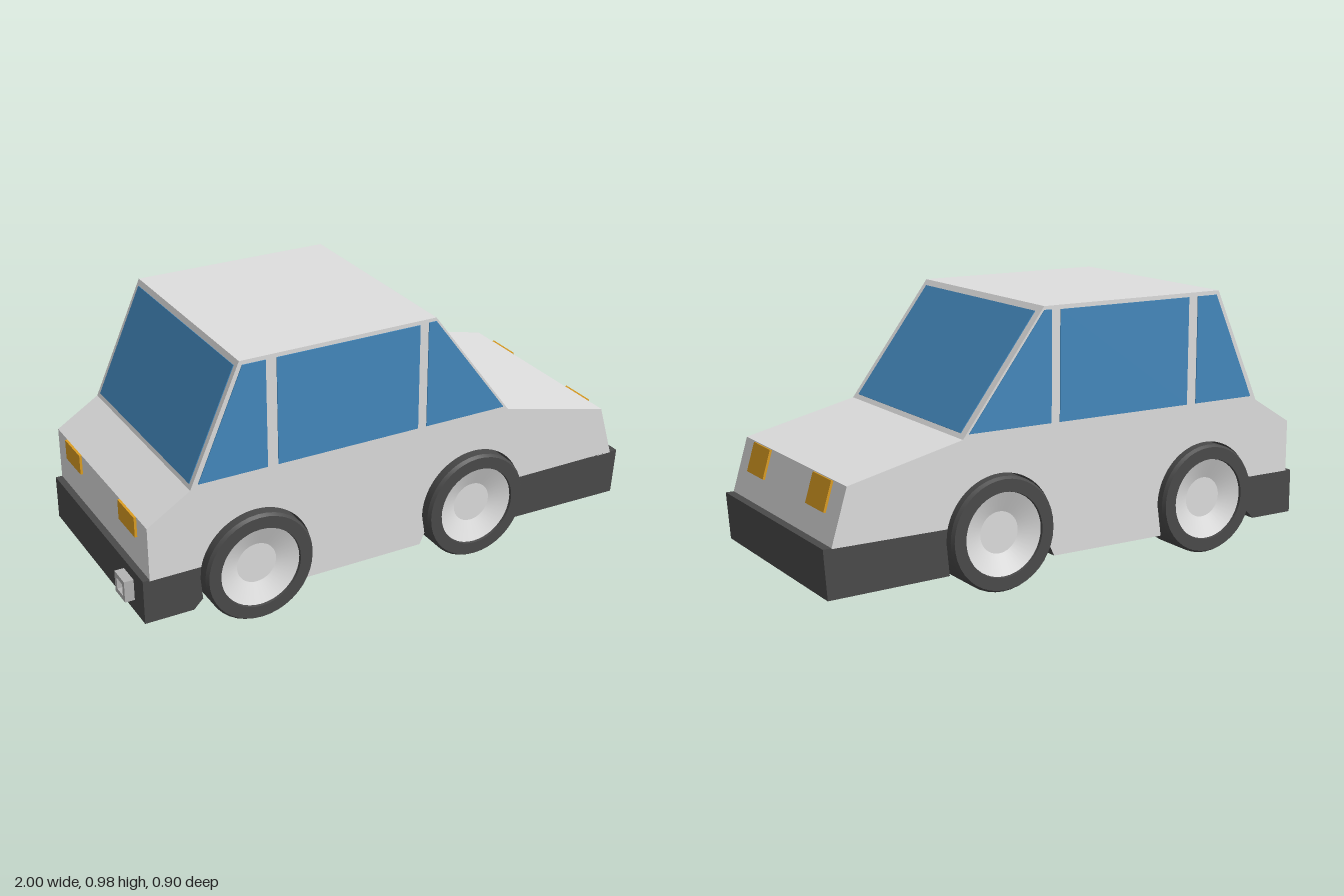
import * as THREE from 'three';
import { toCreasedNormals } from 'three/addons/utils/BufferGeometryUtils.js';

const material = (name, color) => new THREE.MeshStandardMaterial({ name, color });

export function createModel() {
  const paint = material('body paint', 0xdedede);
  const dark = material('dark rubber', 0x4a4a4a);
  const glass = material('window blue', 0x4489be);
  const amber = material('lamp amber', 0xdd9e22);
  const steel = material('exhaust grey', 0xb4b4b4);

  const car = new THREE.Group();
  car.name = 'car';
  const BACK = -0.42, FRONT = 0.412;
  const AXLES = [-0.545, 0.335], AXLE_Y = 0.205, ARCH = 0.212;
  const LIFT = Math.asin(0.045 / ARCH);

  const add = (name, geometry, mat) => {
    const mesh = new THREE.Mesh(geometry, mat);
    mesh.name = name;
    car.add(mesh);
    return mesh;
  };
  const extrude = (shape, z1, z2) =>
    new THREE.ExtrudeGeometry(shape, { depth: z2 - z1, bevelEnabled: false, curveSegments: 20 }).translate(0, 0, z1);
  const polygon = (points) => new THREE.Shape(points.map(([x, y]) => new THREE.Vector2(x, y)));
  // thin plate lying on a sloped face; outward is left of the direction a -> b
  const slopePlate = (name, [ax, ay], [bx, by], z1, z2, t, mat) => {
    const l = Math.hypot(bx - ax, by - ay), nx = -(by - ay) / l * t, ny = (bx - ax) / l * t;
    add(name, extrude(polygon([[ax, ay], [bx, by], [bx + nx, by + ny], [ax + nx, ay + ny]]), z1, z2), mat);
  };

  // body shell with wheel arches running right through
  const side = polygon([[-0.752, 0.25], [-0.94, 0.25], [-0.94, 0.45], [-0.78, 0.55], [-0.59, 0.975],
    [0.16, 0.975], [0.48, 0.55], [0.91, 0.45], [0.97, 0.25], [0.542, 0.25]]);
  side.absarc(AXLES[1], AXLE_Y, ARCH, LIFT, Math.PI, false);
  side.lineTo(0.135, 0.13);
  side.lineTo(0.115, 0.088);
  side.lineTo(-0.35, 0.088);
  side.absarc(AXLES[0], AXLE_Y, ARCH, 0, Math.PI - LIFT, false);
  const shell = extrude(side, BACK, FRONT);
  // underside and arch linings are dark
  const rim = shell.groups.find((g) => g.materialIndex === 1);
  const p = shell.attributes.position;
  shell.groups = shell.groups.filter((g) => g !== rim);
  for (let i = rim.start; i < rim.start + rim.count; i += 3) {
    const x = (p.getX(i) + p.getX(i + 1) + p.getX(i + 2)) / 3;
    const y = (p.getY(i) + p.getY(i + 1) + p.getY(i + 2)) / 3;
    const inArch = y < 0.43 && AXLES.some((a) => Math.abs(x - a) < 0.22);
    shell.addGroup(i, 3, inArch || y < 0.24 ? 1 : 0);
  }
  add('bodyShell', shell, [paint, dark]);

  // bumpers
  add('rearBumper', extrude(polygon([[-0.965, 0.09], [-0.785, 0.09], [-0.75, 0.125], [-0.757, 0.205],
    [-0.752, 0.255], [-0.965, 0.255]]), BACK, FRONT), dark);
  add('frontBumper', extrude(polygon([[0.535, 0.085], [0.987, 0.077], [1, 0.253], [0.542, 0.253],
    [0.547, 0.205]]), BACK, FRONT), dark);

  // side windows
  const panes = {
    rearQuarterWindow: [[-0.752, 0.567], [-0.495, 0.567], [-0.495, 0.96], [-0.58, 0.96]],
    doorWindow: [[-0.455, 0.567], [0.095, 0.567], [0.095, 0.96], [-0.455, 0.96]],
    frontQuarterWindow: [[0.13, 0.567], [0.457, 0.567], [0.16, 0.962], [0.13, 0.962]],
  };
  for (const [name, points] of Object.entries(panes)) {
    add(name + 'Near', extrude(polygon(points), FRONT, FRONT + 0.003), glass);
    add(name + 'Far', extrude(polygon(points), BACK - 0.003, BACK), glass);
  }

  // windscreen and rear window
  slopePlate('windscreen', [0.175, 0.955], [0.469, 0.565], -0.387, 0.383, 0.003, glass);
  slopePlate('rearWindow', [-0.773, 0.565], [-0.599, 0.955], -0.4, 0.392, 0.003, glass);

  // lamps
  for (const z of [-0.323, 0.18]) {
    slopePlate('headlamp', [0.911, 0.447], [0.942, 0.343], z, z + 0.143, 0.009, amber);
    slopePlate('tailLamp', [-0.94, 0.375], [-0.94, 0.45], z, z + 0.143, 0.009, amber);
  }

  // square exhaust pipe, open at the end
  const pipe = polygon([[-0.043, -0.04], [0.043, -0.04], [0.043, 0.04], [-0.043, 0.04]]);
  pipe.holes.push(polygon([[-0.025, -0.022], [-0.025, 0.022], [0.025, 0.022], [0.025, -0.022]]));
  const exhaust = add('exhaust', extrude(pipe, 0, 0.04), steel);
  exhaust.rotation.y = -Math.PI / 2;
  exhaust.position.set(-0.96, 0.178, 0.285);

  // wheels: tyre plus dished hub
  const lathe = (points) => toCreasedNormals(
    new THREE.LatheGeometry(points.map(([r, y]) => new THREE.Vector2(r, y)), 40), 0.24);
  const tyre = lathe([[0, 0.285], [0.205, 0.285], [0.205, 0.437], [0.197, 0.45], [0.152, 0.45], [0.15, 0.44]]);
  const hub = lathe([[0.15, 0.441], [0.075, 0.411], [0, 0.411]]);
  for (const x of AXLES) for (const s of [1, -1]) {
    const wheel = new THREE.Group();
    wheel.name = (x > 0 ? 'front' : 'rear') + 'Wheel' + (s > 0 ? 'Near' : 'Far');
    for (const [name, geometry, mat] of [['tyre', tyre, dark], ['hub', hub, paint]]) {
      const mesh = new THREE.Mesh(geometry, mat);
      mesh.name = name;
      wheel.add(mesh);
    }
    wheel.rotation.x = s * Math.PI / 2;
    wheel.position.set(x, AXLE_Y, 0);
    car.add(wheel);
  }
  return car;
}
